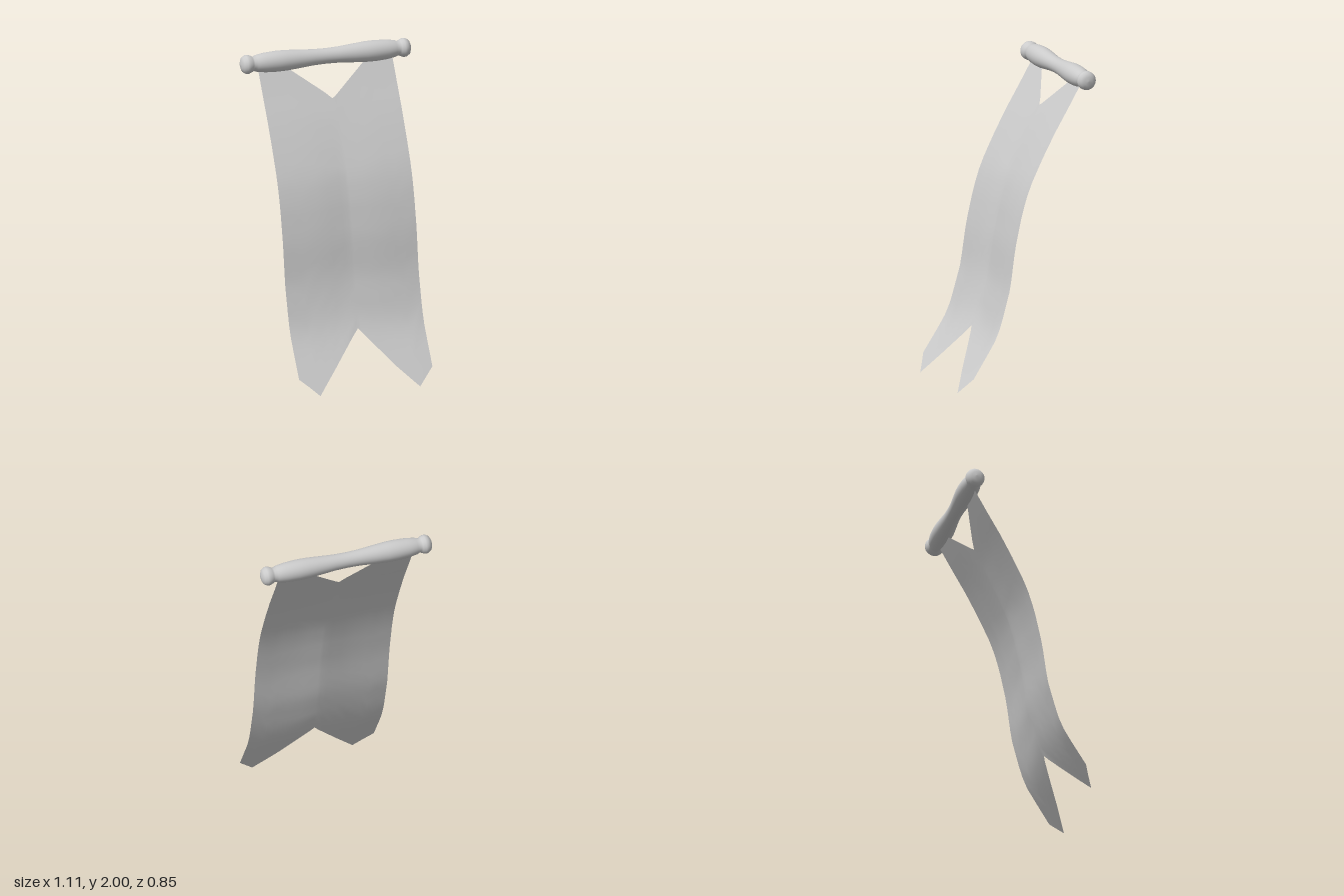
import * as THREE from 'three';

const material = new THREE.MeshStandardMaterial({ color: 0xcccccc, side: THREE.DoubleSide });

// Linear interpolation through a short list of [key, value] pairs
function lerpTable(table, k) {
  let i = 1;
  while (i < table.length - 1 && k > table[i][0]) i++;
  const [a, va] = table[i - 1], [b, vb] = table[i];
  return va + (vb - va) * THREE.MathUtils.clamp((k - a) / (b - a), 0, 1);
}

// Crossbar: turned profile, waisted in the middle, with a ball on each end
function createRod() {
  const half = [[0.048, 0], [0.05, 0.08], [0.058, 0.18], [0.064, 0.26], [0.065, 0.32],
    [0.061, 0.4], [0.052, 0.455], [0.044, 0.475], [0.051, 0.488], [0.059, 0.508],
    [0.058, 0.525], [0.046, 0.544], [0.026, 0.553], [0, 0.556]];
  const points = [
    ...half.slice(1).reverse().map(([r, x]) => [r, -x]), ...half,
  ].map(([r, x]) => new THREE.Vector2(r, x));
  const rod = new THREE.Mesh(new THREE.LatheGeometry(points, 32), material);
  rod.name = 'rod';
  rod.rotation.z = -Math.PI / 2;
  rod.position.set(0, 1.937, -0.363);
  return rod;
}

// Cloth: grid between a notched top edge and a swallowtail bottom edge, billowing forward
function createCloth() {
  const top = [[-0.45, 1.91], [-0.28, 1.91], [-0.04, 1.735], [0, 1.7], [0.02, 1.71], [0.28, 1.91], [0.435, 1.91]];
  const bottom = [[-0.44, 0.11], [-0.328, 0.01], [-0.2, 0.14], [0, 0.35], [0.2, 0.125], [0.33, 0], [0.435, 0.1]];
  const drape = [[0, 0.418], [0.1, 0.353], [0.32, 0.215], [0.42, 0.172], [0.65, 0.109], [0.9, 0.075],
    [1.12, 0.027], [1.27, -0.02], [1.44, -0.1], [1.6, -0.183], [1.75, -0.27], [1.88, -0.343], [1.91, -0.36]];
  const columns = [-0.445, -0.385, -0.328, -0.28, -0.2, -0.12, -0.04, 0, 0.02, 0.11, 0.2, 0.28, 0.33, 0.38, 0.435];
  const rows = 24;
  const geometry = new THREE.PlaneGeometry(1, 1, columns.length - 1, rows);
  const position = geometry.attributes.position;
  for (let i = 0; i < position.count; i++) {
    const x = columns[i % columns.length];
    const t = Math.floor(i / columns.length) / rows;
    const y = THREE.MathUtils.lerp(lerpTable(top, x), lerpTable(bottom, x), t);
    // Soft centre crease and a slight twist towards the hem
    const crease = -0.012 * Math.exp(-((x / 0.12) ** 2)) * Math.sin(Math.PI * t);
    const twist = -0.022 * x * t * t;
    position.setXYZ(i, x, y, lerpTable(drape, y) + crease + twist);
  }
  geometry.computeVertexNormals();
  const cloth = new THREE.Mesh(geometry, material);
  cloth.name = 'cloth';
  return cloth;
}

export function createModel() {
  const banner = new THREE.Group();
  banner.name = 'banner';
  banner.add(createRod(), createCloth());
  return banner;
}
